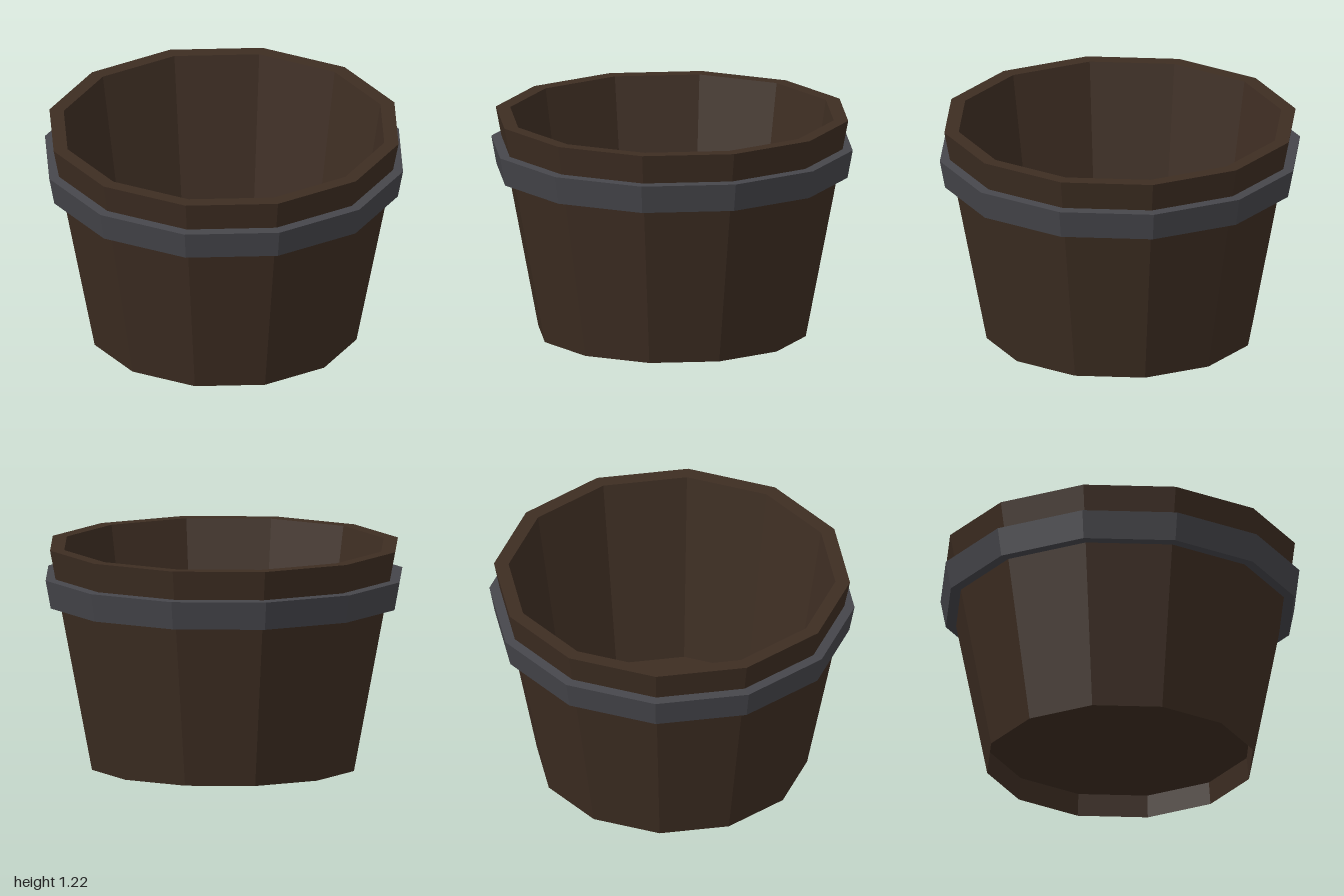
import * as THREE from 'three';

const SIDES = 12;

// Faceted ring or vessel turned from a counter-clockwise [radius, height] profile
function turned(name, profile, material) {
  const points = profile.map(([r, y]) => new THREE.Vector2(r, y));
  const mesh = new THREE.Mesh(new THREE.LatheGeometry(points, SIDES), material);
  mesh.name = name;
  return mesh;
}

export function createModel() {
  const wood = new THREE.MeshStandardMaterial({ name: 'dark wood', color: 0x3d2d22, flatShading: true });
  const iron = new THREE.MeshStandardMaterial({ name: 'dark iron', color: 0x46464b, flatShading: true });

  const group = new THREE.Group();
  group.name = 'tub';

  // Tapered tub: recessed underside, outer wall, flat rim, inner wall, floor
  group.add(turned('tubBody', [
    [0, 0.125], [0.727, 0.125],
    [0.74, 0], [0.975, 1.22],
    [0.895, 1.22], [0.725, 0.135],
    [0, 0.135],
  ], wood));

  // Metal band around the upper wall, following its taper
  group.add(turned('hoop', [
    [0.905, 0.9], [0.971, 0.9],
    [1.0, 1.055], [0.935, 1.06],
    [0.905, 0.9],
  ], iron));

  return group;
}
